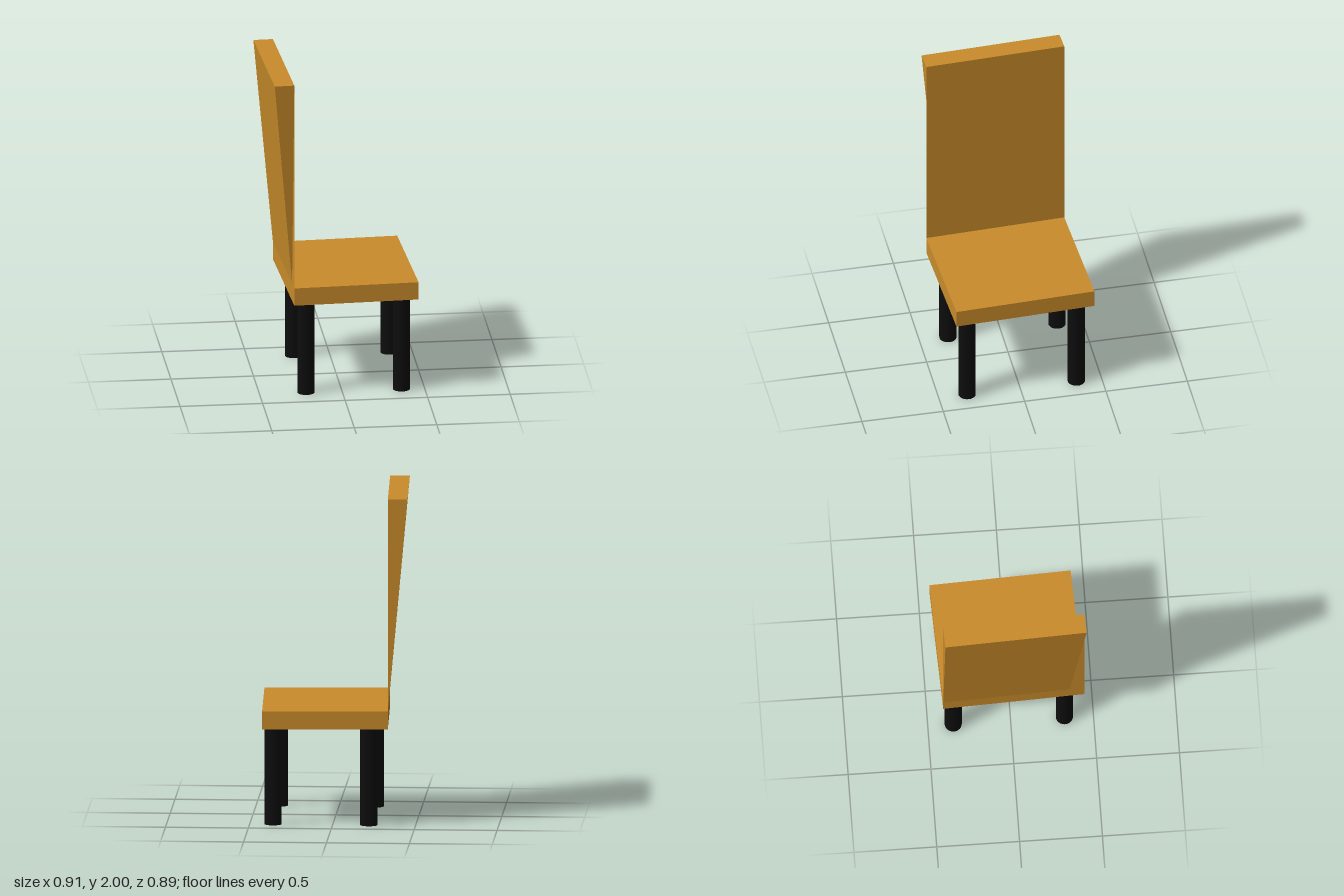
import * as THREE from 'three';

export function createModel() {
  const model = new THREE.Group();
  model.name = 'chair';
  const wood = new THREE.MeshStandardMaterial({ color: 0xc98c2b, flatShading: true });
  const black = new THREE.MeshStandardMaterial({ color: 0x0d0d0d });

  // Seat and backrest share a slight turn about the vertical axis
  const upper = new THREE.Group();
  upper.name = 'seatAndBack';
  upper.rotation.y = 0.041;
  model.add(upper);

  const inner = -0.319, outer = -0.438, right = 0.438, half = 0.428;
  const seatBottom = 0.595, seatTop = 0.705, top = 2;

  const seat = new THREE.Mesh(
    new THREE.BoxGeometry(right - inner, seatTop - seatBottom, half * 2), wood);
  seat.position.set((inner + right) / 2, (seatBottom + seatTop) / 2, 0);
  seat.name = 'seat';
  upper.add(seat);

  // Backrest: a wedge with an upright inner face and an outer face
  // that leans out and widens from a shorter bottom edge
  const foot = half - 0.09;
  const corners = [
    [inner, seatTop, -half], [inner, seatTop, half], // inner bottom
    [inner, top, -half], [inner, top, half],         // inner top
    [outer, top, -half], [outer, top, half],         // outer top
    [inner, seatTop, -foot], [inner, seatTop, foot], // outer bottom
  ];
  const faces = [
    0, 2, 3, 0, 3, 1, // inner face
    2, 4, 5, 2, 5, 3, // top
    5, 4, 6, 5, 6, 7, // outer face
    4, 2, 0, 4, 0, 6, // rear end
    3, 5, 7, 3, 7, 1, // front end
  ];
  const backGeometry = new THREE.BufferGeometry();
  backGeometry.setAttribute('position',
    new THREE.Float32BufferAttribute(faces.flatMap((i) => corners[i]), 3));
  backGeometry.computeVertexNormals();
  const back = new THREE.Mesh(backGeometry, wood);
  back.name = 'backrest';
  upper.add(back);

  // Four round legs
  const legGeometry = new THREE.CylinderGeometry(0.052, 0.052, seatBottom, 24);
  for (const x of [-0.218, 0.36]) {
    for (const z of [-0.346, 0.325]) {
      const leg = new THREE.Mesh(legGeometry, black);
      leg.position.set(x, seatBottom / 2, z);
      leg.name = 'leg';
      model.add(leg);
    }
  }
  return model;
}
